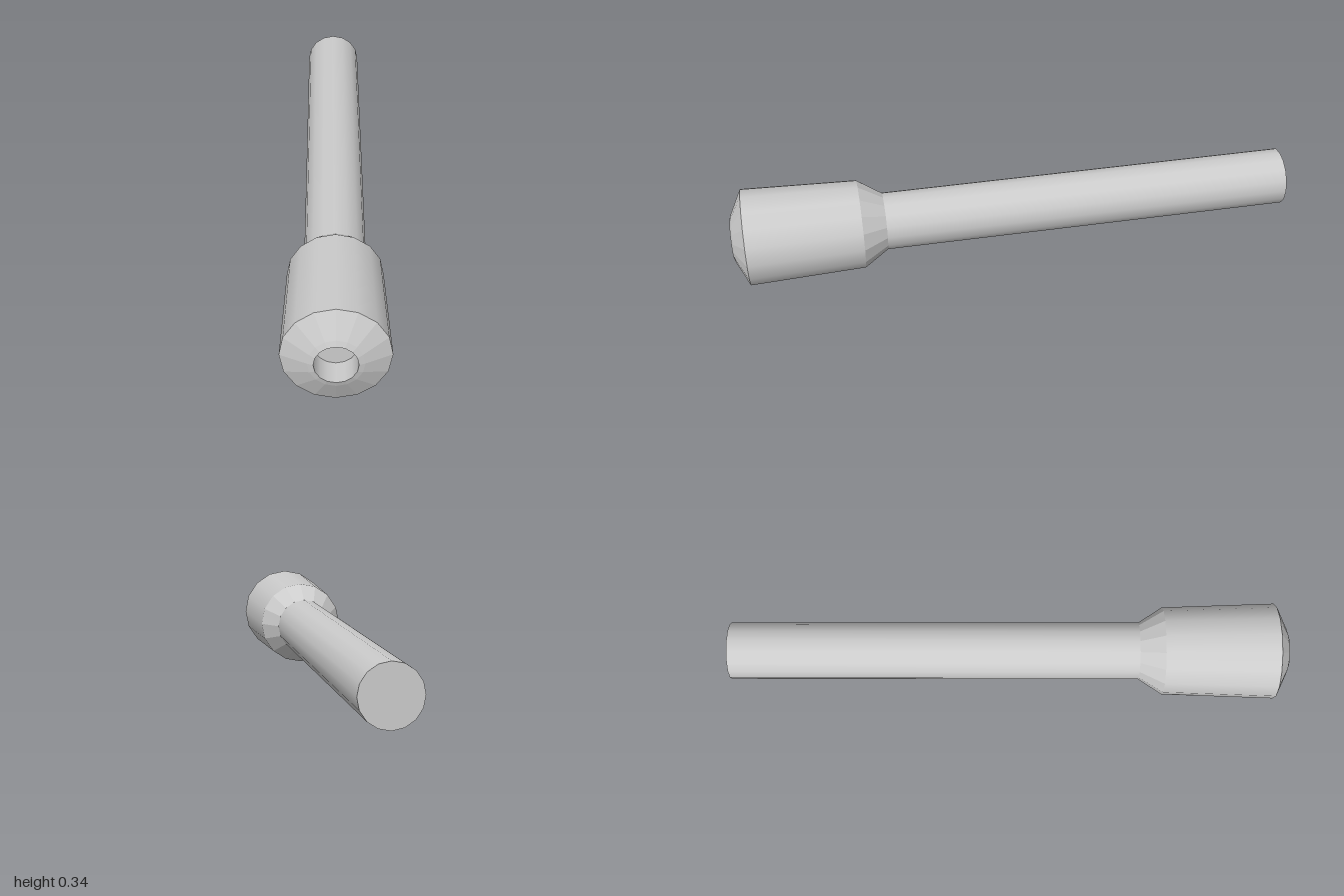
import * as THREE from 'three';

const SIDES = 16;
const AXIS_HEIGHT = 0.171;

export function createModel() {
  const group = new THREE.Group();
  const smooth = new THREE.MeshStandardMaterial({ color: 0xcccccc });
  const faceted = new THREE.MeshStandardMaterial({ color: 0xcccccc, flatShading: true });

  // One band of the turned profile, from [radius, z] to [radius, z]
  function band(name, from, to, material) {
    const points = [new THREE.Vector2(...from), new THREE.Vector2(...to)];
    const geometry = new THREE.LatheGeometry(points, SIDES);
    geometry.rotateX(Math.PI / 2);
    geometry.translate(0, AXIS_HEIGHT, 0);
    const mesh = new THREE.Mesh(geometry, material);
    mesh.name = name;
    group.add(mesh);
  }

  // Long handle with a closed back end
  band('handleEnd', [0, -1], [0.102, -1], faceted);
  band('handle', [0.102, -1], [0.102, 0.465], smooth);

  // Head: flared shoulder, tapered body and bevelled nose
  band('shoulder', [0.102, 0.465], [0.157, 0.55], faceted);
  band('headBody', [0.157, 0.55], [0.171, 0.952], smooth);
  band('nose', [0.171, 0.952], [0.087, 0.993], faceted);
  band('lip', [0.087, 0.993], [0.068, 1], faceted);

  // Blind hole in the nose
  band('holeWall', [0.068, 1], [0.068, 0.91], smooth);
  band('holeFloor', [0.068, 0.91], [0, 0.91], faceted);

  return group;
}
